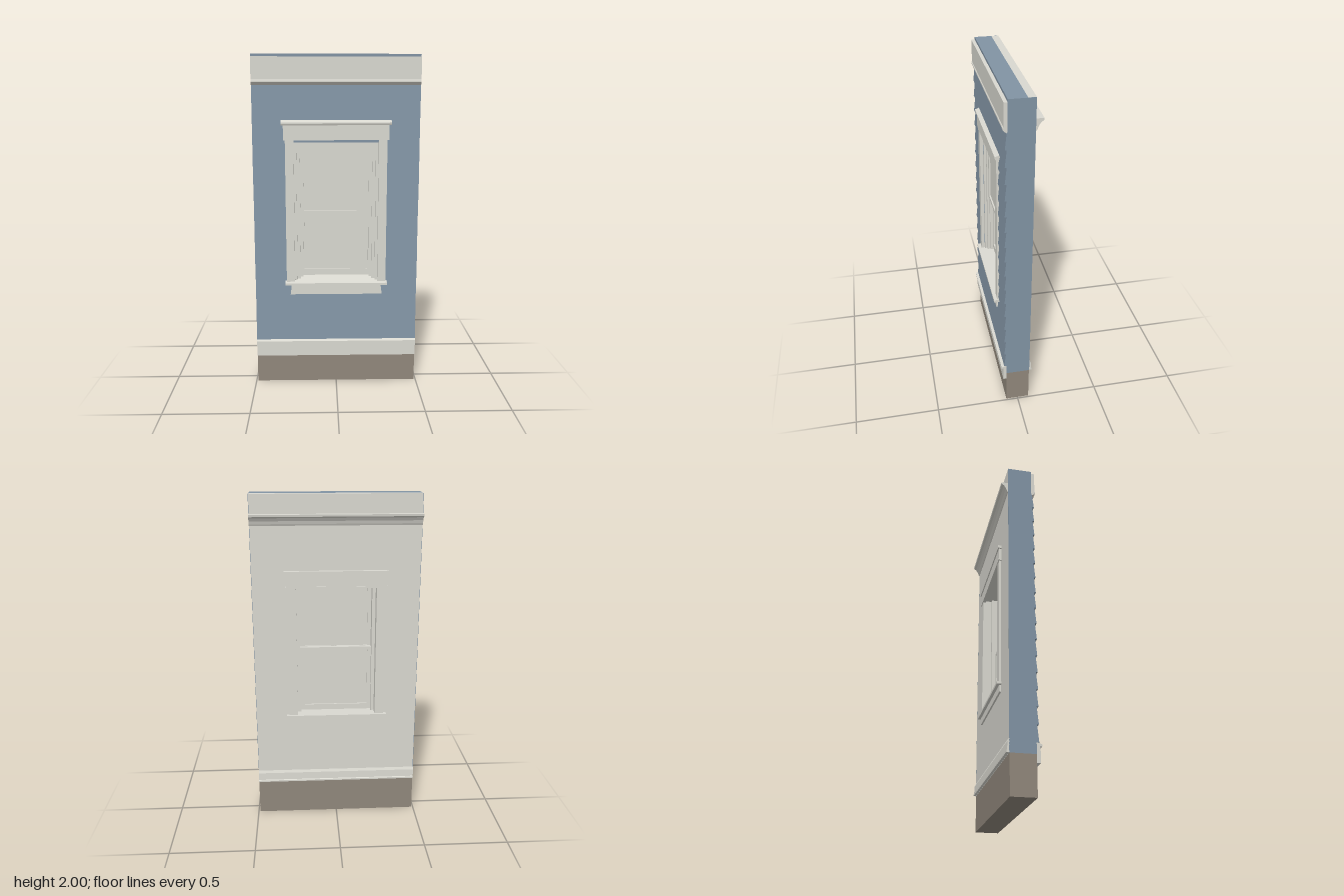
import * as THREE from 'three';

const HALF = 0.49; // half the width of the wall section

export function createModel() {
  const model = new THREE.Group();
  const mat = (name, color) => {
    const m = new THREE.MeshStandardMaterial({ color });
    m.name = name;
    return m;
  };
  const trim = mat('warm white trim', 0xd9d8d0);
  const blue = mat('blue siding', 0x8193a3);
  const stone = mat('brown foundation', 0x90877b);

  const add = (name, geo, material, parent = model) => {
    const mesh = new THREE.Mesh(geo, material);
    mesh.name = name;
    parent.add(mesh);
    return mesh;
  };
  // Box given by its limits on each axis
  const box = (name, [x0, x1], [y0, y1], [z0, z1], material = trim, parent = model) =>
    add(name, new THREE.BoxGeometry(x1 - x0, y1 - y0, z1 - z0)
      .translate((x0 + x1) / 2, (y0 + y1) / 2, (z0 + z1) / 2), material, parent);
  // Moulding: a [z, y] section run along x
  const moulding = (name, pts, x0, x1, material = trim, parent = model) => {
    const shape = new THREE.Shape(pts.map(p => new THREE.Vector2(p[0], p[1])));
    const geo = new THREE.ExtrudeGeometry(shape, { depth: x1 - x0, bevelEnabled: false });
    return add(name, geo.rotateY(-Math.PI / 2).translate(x1, 0, 0), material, parent);
  };
  const group = name => {
    const g = new THREE.Group();
    g.name = name;
    model.add(g);
    return g;
  };

  // Foundation and wall layers with the window opening
  box('foundation', [-HALF, HALF], [0, 0.22], [-0.07, 0.07], stone);
  const wallLayer = (name, half, z0, z1, material) => {
    const s = new THREE.Shape();
    s.moveTo(-half, 0.22).lineTo(half, 0.22).lineTo(half, 2).lineTo(-half, 2).closePath();
    const h = new THREE.Path();
    h.moveTo(-0.25, 0.64).lineTo(-0.25, 1.495).lineTo(0.25, 1.495).lineTo(0.25, 0.64).closePath();
    s.holes.push(h);
    add(name, new THREE.ExtrudeGeometry(s, { depth: z1 - z0, bevelEnabled: false })
      .translate(0, 0, z0), material);
  };
  wallLayer('outerWall', HALF, -0.03, 0.07, blue);
  wallLayer('innerWall', HALF - 0.002, -0.072, -0.03, trim);
  for (const s of [-1, 1]) {
    const xs = [s * HALF, s * (HALF - 0.002)].sort((a, b) => a - b);
    box('wallEnd', xs, [0.22, 2], [-0.072, -0.03], blue);
  }

  // Lapped siding boards, broken where they meet the window
  const siding = group('siding');
  const count = 16, bottom = 0.28, pitch = (1.83 - bottom) / count;
  for (let i = 0; i < count; i++) {
    const y0 = bottom + i * pitch, y1 = y0 + pitch;
    const section = [[0.069, y0], [0.084, y0], [0.074, y1], [0.069, y1]];
    const runs = y1 > 0.65 && y0 < 1.51
      ? [[-HALF, -0.27], [0.27, HALF]] : [[-HALF, HALF]];
    for (const [a, b] of runs) moulding('sidingBoard', section, a, b, blue, siding);
  }

  // Outside horizontal trim
  moulding('waterTable', [[0.07, 0.175], [0.09, 0.175], [0.09, 0.262], [0.1, 0.262],
    [0.1, 0.272], [0.07, 0.283]], -HALF, HALF);
  moulding('frieze', [[0.07, 1.825], [0.078, 1.825], [0.094, 1.842], [0.094, 1.85],
    [0.09, 1.855], [0.09, 1.985], [0.07, 1.985]], -HALF, HALF);

  // Inside horizontal trim
  moulding('crownMoulding', [[-0.07, 1.825], [-0.07, 1.89], [-0.113, 1.89], [-0.111, 1.878],
    [-0.098, 1.87], [-0.086, 1.852], [-0.08, 1.835], [-0.075, 1.825]], -HALF, HALF);
  moulding('baseboard', [[-0.07, 0.222], [-0.07, 0.295], [-0.075, 0.295], [-0.081, 0.28],
    [-0.083, 0.235], [-0.087, 0.231], [-0.087, 0.222]], -HALF, HALF);

  // Outside window surround
  const front = group('outsideCasing');
  for (const s of [-1, 1]) {
    const span = (a, b) => s > 0 ? [a, b] : [-b, -a];
    box('sideCasing', span(0.25, 0.3), [0.65, 1.51], [0.06, 0.09], trim, front);
  }
  box('headCasing', [-0.31, 0.31], [1.51, 1.597], [0.06, 0.094], trim, front);
  moulding('headCap', [[0.065, 1.597], [0.1, 1.597], [0.104, 1.606], [0.104, 1.614],
    [0.07, 1.627]], -0.323, 0.323, trim, front);
  moulding('sill', [[0.0, 0.635], [0.108, 0.635], [0.108, 0.648], [0.0, 0.675]],
    -0.25, 0.25, trim, front);
  moulding('sillNose', [[0.065, 0.635], [0.11, 0.635], [0.11, 0.648], [0.065, 0.658]],
    -0.308, 0.308, trim, front);
  const apron = new THREE.Shape();
  apron.moveTo(-0.278, 0.573).lineTo(0.278, 0.573).lineTo(0.27, 0.635).lineTo(-0.27, 0.635);
  add('apron', new THREE.ExtrudeGeometry(apron, { depth: 0.025, bevelEnabled: false })
    .translate(0, 0, 0.066), trim, front);

  // Inside window surround
  const back = group('insideCasing');
  for (const s of [-1, 1]) {
    const span = (a, b) => s > 0 ? [a, b] : [-b, -a];
    box('sideCasing', span(0.235, 0.287), [0.675, 1.472], [-0.085, -0.06], trim, back);
  }
  box('headCasing', [-0.292, 0.292], [1.472, 1.55], [-0.087, -0.07], trim, back);
  box('headBead', [-0.297, 0.297], [1.468, 1.478], [-0.09, -0.07], trim, back);
  box('headCap', [-0.302, 0.302], [1.55, 1.568], [-0.094, -0.07], trim, back);
  box('stool', [-0.305, 0.305], [0.663, 0.677], [-0.099, -0.07], trim, back);
  box('stoolBoard', [-0.25, 0.25], [0.64, 0.677], [-0.075, 0.005], trim, back);
  box('apron', [-0.287, 0.287], [0.622, 0.663], [-0.082, -0.07], trim, back);

  // Jamb lining and sash tracks
  const jambs = group('jambs');
  for (const s of [-1, 1]) {
    const span = (a, b) => s > 0 ? [a, b] : [-b, -a];
    box('jamb', span(0.235, 0.25), [0.65, 1.495], [-0.071, 0.069], trim, jambs);
    box('stop', span(0.215, 0.235), [0.66, 1.48], [-0.03, 0.055], trim, jambs);
    box('track', span(0.2, 0.215), [0.67, 1.07], [0.022, 0.04], trim, jambs);
  }
  box('headJamb', [-0.235, 0.235], [1.476, 1.494], [-0.071, 0.069], trim, jambs);

  // Sash: two stiles, two rails and an opaque pane
  const sash = (name, half, y0, y1, z0, z1, stile, lowRail, topRail) => {
    const g = group(name);
    const mid = (z0 + z1) / 2;
    for (const s of [-1, 1]) {
      const xs = [s * half, s * (half - stile)].sort((a, b) => a - b);
      box('stile', xs, [y0, y1], [z0, z1], trim, g);
    }
    const inner = [stile - half, half - stile];
    box('bottomRail', inner, [y0, y0 + lowRail], [z0, z1], trim, g);
    box('topRail', inner, [y1 - topRail, y1], [z0, z1], trim, g);
    box('pane', inner, [y0 + lowRail, y1 - topRail], [mid - 0.003, mid + 0.003], trim, g);
    return g;
  };
  const upper = sash('upperSash', 0.217, 1.065, 1.476, 0.022, 0.046, 0.024, 0.02, 0.022);
  box('muntin', [-0.006, 0.006], [1.085, 1.454], [0.026, 0.042], trim, upper);
  sash('lowerSash', 0.217, 0.675, 1.085, -0.004, 0.02, 0.024, 0.037, 0.02);

  return model;
}
